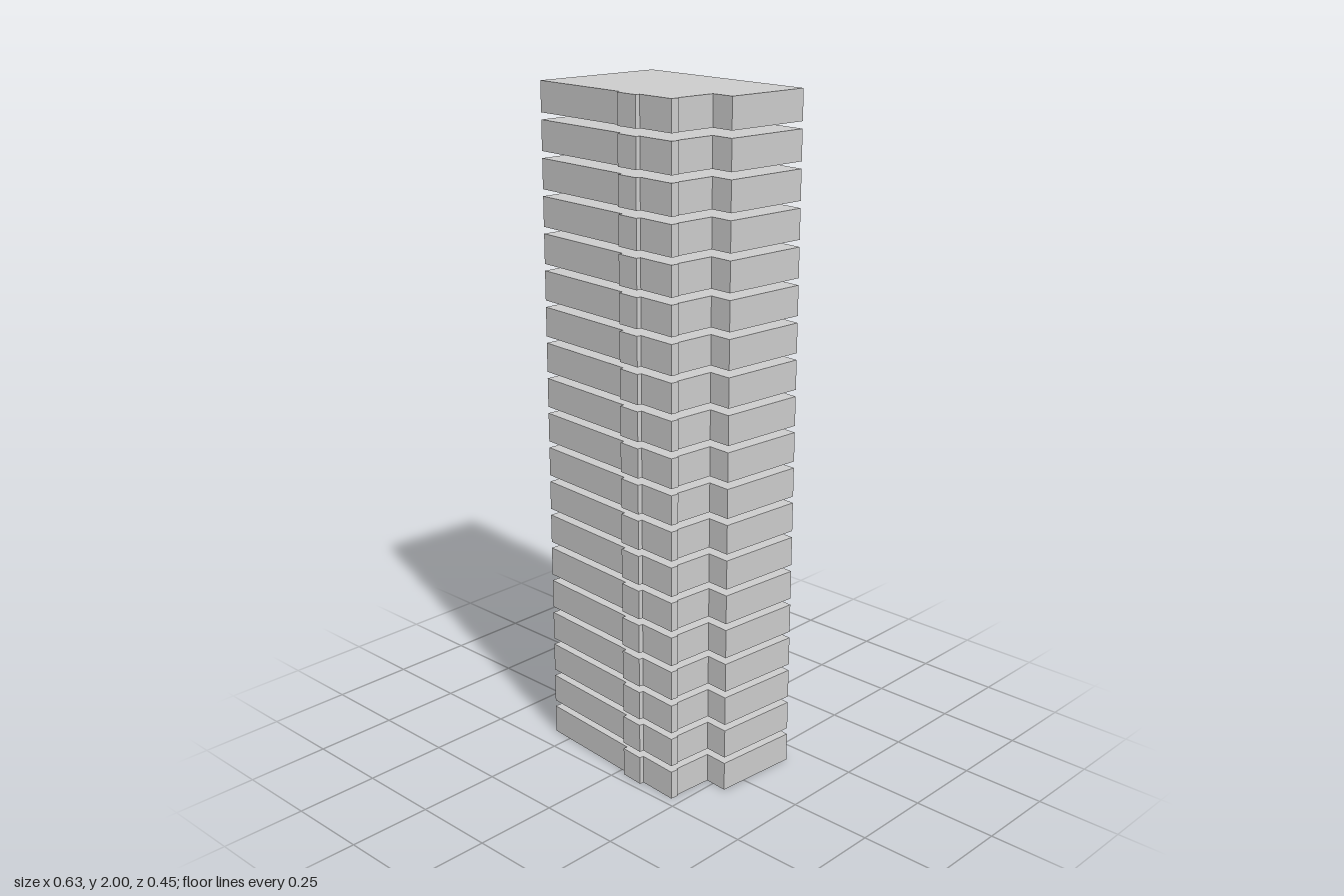
import * as THREE from 'three';

// Floor plan corners as [x, z]
const PLAN = [
  [-0.286, -0.228], [0.317, -0.18], [0.297, 0.08], [0.226, 0.075],
  [0.217, 0.197], [0.222, 0.198], [0.219, 0.222], [0.098, 0.213],
  [0.096, 0.226], [0.023, 0.22], [0.024, 0.207], [-0.317, 0.179],
];
const FLOORS = 19;
const HEIGHT = 2;
const FLOOR_HEIGHT = 0.0866;

export function createModel() {
  const tower = new THREE.Group();
  tower.name = 'tower';
  const material = new THREE.MeshStandardMaterial({ color: 0xcccccc, flatShading: true });

  // One storey: the plan extruded upwards
  const shape = new THREE.Shape(PLAN.map(([x, z]) => new THREE.Vector2(x, -z)));
  const storey = new THREE.ExtrudeGeometry(shape, { depth: FLOOR_HEIGHT, bevelEnabled: false });
  storey.rotateX(-Math.PI / 2);

  // Stack of identical storeys with open gaps between them
  const pitch = (HEIGHT - FLOOR_HEIGHT) / (FLOORS - 1);
  for (let i = 0; i < FLOORS; i++) {
    const floor = new THREE.Mesh(storey, material);
    floor.name = `floor${i + 1}`;
    floor.position.y = i * pitch;
    tower.add(floor);
  }
  return tower;
}
